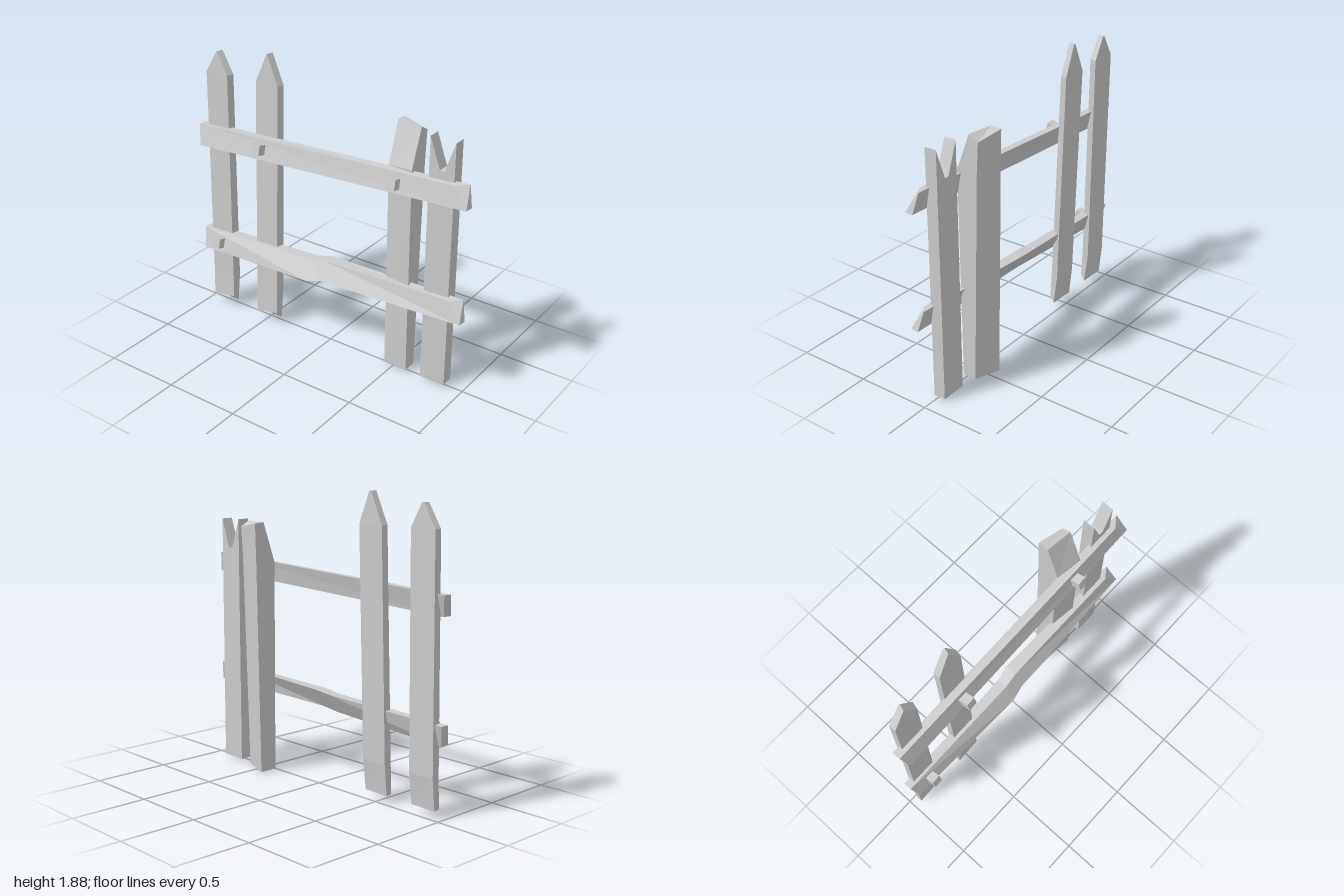
import * as THREE from 'three';

const material = new THREE.MeshStandardMaterial({ color: 0xcccccc, flatShading: true, side: THREE.DoubleSide });

// Skin four-cornered sections into a closed, hard-edged solid.
// Corners run counter-clockwise when seen from the far end.
function loft(name, sections) {
  const pos = [];
  const quad = (a, b, c, d) => pos.push(...a, ...b, ...c, ...a, ...c, ...d);
  for (let s = 0; s < sections.length - 1; s++) {
    const a = sections[s], b = sections[s + 1];
    for (let i = 0; i < 4; i++) {
      const j = (i + 1) % 4;
      quad(a[i], a[j], b[j], b[i]);
    }
  }
  quad(...[...sections[0]].reverse());
  quad(...sections[sections.length - 1]);
  const geometry = new THREE.BufferGeometry();
  geometry.setAttribute('position', new THREE.Float32BufferAttribute(pos, 3));
  geometry.computeVertexNormals();
  const mesh = new THREE.Mesh(geometry, material);
  mesh.name = name;
  return mesh;
}

// Pointed picket, leaning back towards the top, with a bevelled foot
function picket(name, x0, x1, apexX, shoulder, apexY, topZ) {
  const section = (l, r, y, zb, zf) => [[l, y, zf], [r - 0.012, y, zf], [r, y, zb], [l, y, zb]];
  const foot = [[x0, 0.055, 0.065], [x1 - 0.012, 0.09, 0.065], [x1, 0.05, 0.03], [x0, 0.05, 0.025]];
  return loft(name, [
    foot,
    section(x0, x1, 0.25, 0.005, 0.057),
    section(x0, x1, shoulder, topZ, topZ + 0.047),
    section(apexX - 0.003, apexX + 0.012, apexY, topZ, topZ + 0.042),
  ]);
}

// Rail section: front-bottom, back-bottom, back-top, front-top, each [x, y, z]
function rail(name, base, middle = []) {
  const left = [[-0.97, base, 0.11], [-0.97, base, 0.05], [-1, base + 0.13, 0.015], [-1, base + 0.13, 0.07]];
  const right = [[0.995, base + 0.085, 0.08], [1, base + 0.085, 0.025], [0.97, base + 0.215, 0], [0.9, base + 0.205, 0.052]];
  return loft(name, [left, ...middle, right]);
}

export function createModel() {
  const group = new THREE.Group();

  // Pointed pickets on the model's right
  group.add(picket('outerPicket', -0.95, -0.767, -0.86, 1.69, 1.835, -0.012));
  group.add(picket('innerPicket', -0.57, -0.388, -0.48, 1.69, 1.885, -0.042));

  // Thick post with a sloping cut at its top front
  group.add(loft('post', [
    [[0.425, 0.005, 0], [0.6, 0.015, 0.022], [0.6, 0.015, -0.07], [0.425, 0.005, -0.122]],
    [[0.425, 1.39, 0.005], [0.6, 1.41, 0.03], [0.6, 1.41, -0.112], [0.425, 1.39, -0.148]],
    [[0.425, 1.65, -0.085], [0.6, 1.65, -0.062], [0.6, 1.612, -0.125], [0.425, 1.645, -0.155]],
  ]));

  // Broken picket with a notched top
  const outline = new THREE.Shape([
    [0.708, 0.02], [0.88, 0.02], [0.878, 1.645], [0.81, 1.455], [0.78, 1.455], [0.71, 1.65],
  ].map(([x, y]) => new THREE.Vector2(x, y)));
  const broken = new THREE.Mesh(
    new THREE.ExtrudeGeometry(outline, { depth: 0.08, bevelEnabled: false }), material);
  broken.name = 'brokenPicket';
  broken.position.z = -0.057;
  group.add(broken);

  // Straight upper rail and kinked lower rail
  group.add(rail('upperRail', 1.195));
  group.add(rail('lowerRail', 0.44, [
    [[-0.1, 0.48, 0.135], [-0.1, 0.48, 0.065], [-0.1, 0.602, -0.006], [-0.1, 0.602, 0.065]],
    [[0, 0.503, 0.115], [0, 0.503, 0.045], [0, 0.62, -0.025], [0, 0.62, 0.055]],
  ]));

  // Square pegs, square to the leaning rail faces
  [[-0.845, 0.515, 0.115], [-0.48, 1.29, 0.11], [0.515, 1.325, 0.095]].forEach(([x, y, z], i) => {
    const peg = new THREE.Mesh(new THREE.BoxGeometry(0.062, 0.065, 0.075), material);
    peg.name = 'peg' + (i + 1);
    peg.position.set(x, y, z);
    peg.rotation.set(-0.28, 0.06, 0.03);
    group.add(peg);
  });

  return group;
}
